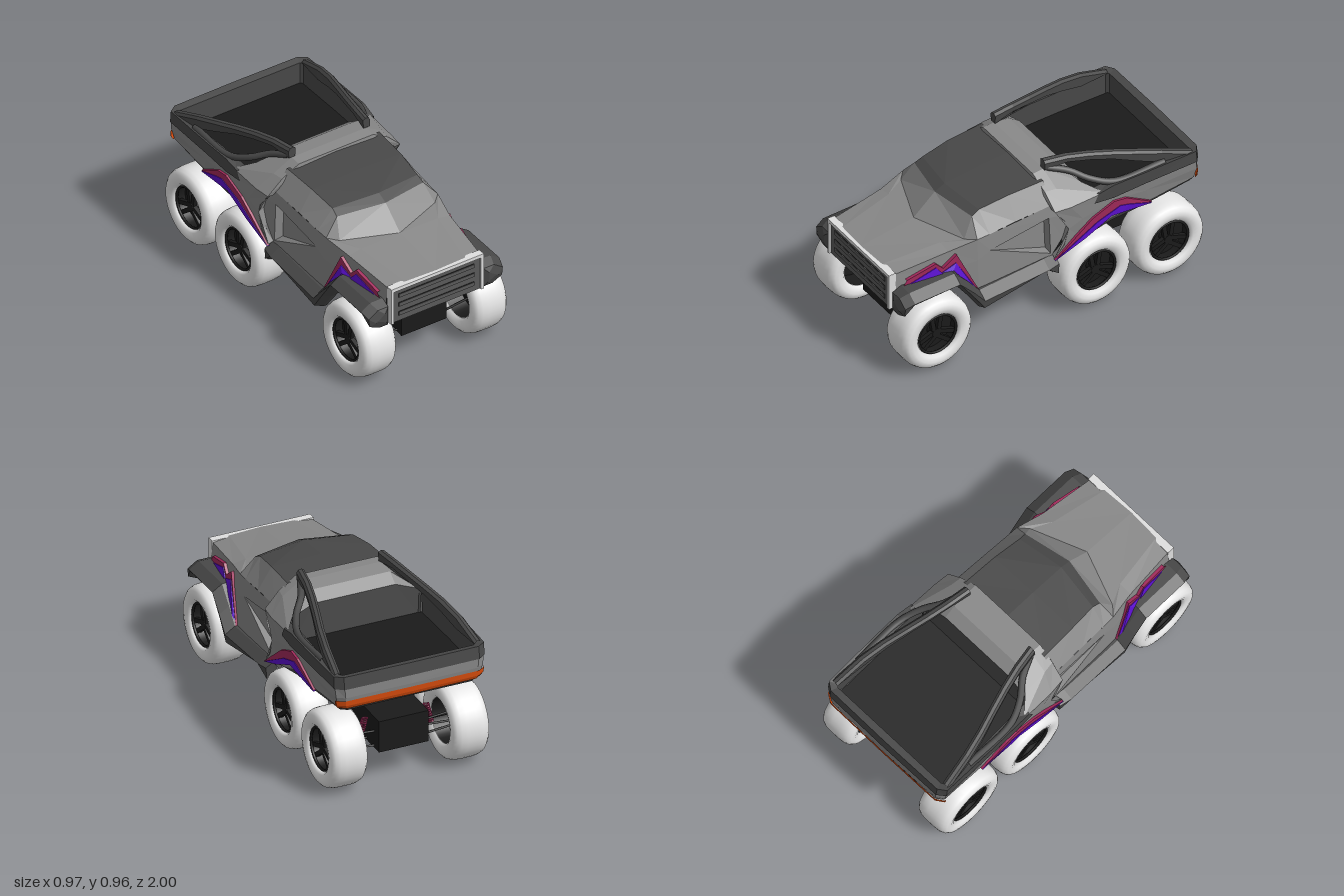
import * as THREE from 'three';

const mat = (name, color) => new THREE.MeshStandardMaterial({ name, color, side: THREE.DoubleSide });
const M = {
  body: mat('bodyGrey', 0x888888), dark: mat('darkGrey', 0x484848), black: mat('chassisBlack', 0x1b1b1b),
  grille: mat('grilleGrey', 0x5a5a5a), tyre: mat('tyreWhite', 0xececec),
  trim: mat('trimWhite', 0xdedede), pink: mat('magenta', 0xa32a5c), purple: mat('purple', 0x5c10d0),
  orange: mat('lampOrange', 0xd24a0c),
};

function add(parent, name, geo, m, x = 0, y = 0, z = 0) {
  const mesh = new THREE.Mesh(geo, m);
  mesh.name = name;
  mesh.position.set(x, y, z);
  parent.add(mesh);
  return mesh;
}
const box = (p, name, m, w, h, d, x, y, z) => add(p, name, new THREE.BoxGeometry(w, h, d), m, x, y, z);

// Faceted surface through rows of points, with its mirror image across x = 0
function skin(parent, name, m, rows) {
  const out = [];
  const tri = (...pts) => {
    pts.forEach(p => out.push(...p));
    [pts[0], pts[2], pts[1]].forEach(p => out.push(-p[0], p[1], p[2]));
  };
  for (let i = 0; i + 1 < rows.length; i++)
    for (let j = 0; j + 1 < rows[i].length; j++) {
      const a = rows[i][j], b = rows[i + 1][j], c = rows[i + 1][j + 1], d = rows[i][j + 1];
      tri(a, b, c);
      tri(a, c, d);
    }
  const g = new THREE.BufferGeometry();
  g.setAttribute('position', new THREE.Float32BufferAttribute(out, 3));
  g.computeVertexNormals();
  return add(parent, name, g, m);
}

// Side profile of [z, y] points extruded across the width
function profile(parent, name, m, halfWidth, pts) {
  const g = new THREE.ExtrudeGeometry(new THREE.Shape(pts.map(p => new THREE.Vector2(...p))),
    { depth: halfWidth * 2, bevelEnabled: false });
  g.translate(0, 0, -halfWidth).rotateY(-Math.PI / 2);
  return add(parent, name, g, m);
}

const V = pts => pts.map(p => new THREE.Vector3(...p));
const tube = (pts, r, n = 24, sides = 8) => new THREE.TubeGeometry(new THREE.CatmullRomCurve3(V(pts)), n, r, sides);

function makeCab(g) {
  skin(g, 'hood', M.body, [
    [[0, .638, .975], [.2, .636, .965], [.305, .625, .95]],
    [[0, .688, .625], [.26, .68, .62], [.34, .665, .62]],
    [[0, .688, .625], [.32, .69, .5], [.375, .70, .45]]]);
  skin(g, 'windshield', M.body, [
    [[0, .81, .485], [.29, .80, .43]],
    [[0, .688, .625], [.32, .69, .5]]]);
  skin(g, 'roof', M.dark, [
    [[0, .81, .485], [.29, .80, .43]],
    [[0, .84, .42], [.285, .825, .38]],
    [[0, .865, .2], [.3, .855, .2]],
    [[0, .88, -.03], [.31, .868, -.03]]]);
  skin(g, 'sideWindow', M.body, [
    [[.29, .80, .43], [.29, .80, .43], [.285, .825, .38], [.3, .855, .2], [.31, .868, -.03]],
    [[.32, .69, .5], [.375, .70, .45], [.378, .706, .37], [.383, .725, .2], [.39, .745, -.03]]]);
  skin(g, 'hoodSide', M.body, [
    [[.305, .625, .95], [.34, .665, .62], [.375, .70, .45], [.378, .706, .37]],
    [[.32, .5, .95], [.35, .54, .62], [.383, .56, .45], [.387, .6, .37]],
    [[.31, .4, .95], [.35, .48, .62], [.388, .36, .45], [.392, .36, .37]]]);
  // Door around a triangular recess that sinks in towards the back
  const A = [.387, .6, .37], B = [.398, .67, -.01], C = [.4, .42, -.02];
  const b = [.345, .655, -.008], c = [.345, .43, -.018];
  skin(g, 'doorTop', M.body, [[[.378, .706, .37], [.39, .745, -.01]], [A, B]]);
  skin(g, 'doorBottom', M.body, [[A, C], [[.392, .36, .37], [.4, .39, -.02]]]);
  skin(g, 'doorBack', M.body, [[[.39, .745, -.01], [.39, .745, -.14]], [B, [.4, .65, -.14]],
    [C, [.4, .42, -.14]], [[.4, .39, -.02], [.4, .39, -.14]]]);
  skin(g, 'doorRecess', M.body, [[A, A], [b, c]]);
  skin(g, 'doorRecessEdge', M.body, [[A, B, C, A], [A, b, c, A]]);
  // Front fender running back into the side step: [z, inner x, outer x, top y, bottom y]
  const fender = [[.99, .35, .41, .49, .43], [.975, .32, .45, .52, .4], [.92, .32, .465, .545, .465],
    [.62, .34, .465, .555, .48], [.53, .36, .465, .46, .36], [.455, .375, .465, .37, .25],
    [.03, .385, .465, .405, .335], [-.045, .385, .45, .41, .27]];
  const rows = fender.map(([z, a, o, t, l]) => [
    [a, l, z], [a, t, z], [o - .06, t, z], [o, t - .04, z], [o - .005, l + .03, z], [o - .07, l, z], [a, l, z]]);
  rows.unshift(rows[0].map(() => [.38, .46, .99]));
  rows.push(rows[0].map(() => [.41, .34, -.045]));
  skin(g, 'fenderAndStep', M.dark, rows);
}

function makeGrille(g) {
  box(g, 'grillePanel', M.grille, .59, .215, .03, 0, .508, .965);
  box(g, 'grilleTopTrim', M.trim, .62, .022, .045, 0, .625, .97);
  for (const s of [-1, 1]) box(g, 'grilleSideTrim', M.trim, .018, .235, .045, s * .302, .518, .97);
  for (const y of [.57, .51, .45]) {
    box(g, 'grilleSlotEdge', M.black, .506, .027, .004, 0, y, .981);
    box(g, 'grilleSlot', M.grille, .502, .023, .008, 0, y, .982);
  }
}

function makeRearBody(g) {
  // Hoop wrapping over the back of the cab
  skin(g, 'rearHoop', M.body, [
    [[0, .865, .005], [0, .89, 0], [0, .895, -.07], [0, .882, -.17]],
    [[.25, .865, .005], [.25, .89, 0], [.25, .895, -.07], [.25, .882, -.17]],
    [[.33, .815, 0], [.355, .825, -.01], [.365, .825, -.08], [.37, .81, -.24]],
    [[.41, .73, -.02], [.445, .735, -.02], [.455, .735, -.12], [.458, .75, -.34]]]);
  skin(g, 'hoopLip', M.body, [
    [[.405, .73, -.03], [.4, .65, -.1], [.4, .58, -.125], [.4, .48, -.09], [.4, .41, -.03]],
    [[.445, .735, -.02], [.455, .65, -.08], [.445, .58, -.11], [.445, .48, -.08], [.44, .41, -.02]]]);
  skin(g, 'cabBackWall', M.body, [
    [[0, .882, -.17], [.25, .882, -.17], [.37, .81, -.24]],
    [[0, .835, -.24], [.25, .835, -.24], [.39, .78, -.25]]]);
  skin(g, 'bedFrontWall', M.dark, [
    [[0, .835, -.24], [.25, .835, -.24], [.39, .78, -.25], [.4, .76, -.26]],
    [[0, .63, -.26], [.25, .63, -.26], [.38, .63, -.26], [.39, .63, -.27]]]);
  // Flared sides running back and round into the tailgate
  const lower = [[.44, .41, -.02], [.435, .47, -.21], [.44, .54, -.4], [.437, .55, -.65], [.435, .585, -.945], [.395, .585, -.975], [0, .585, -.98]];
  skin(g, 'rearSide', M.body, [
    [[.445, .735, -.02], [.455, .735, -.12], [.458, .75, -.34], [.458, .71, -.6], [.455, .71, -.95], [.41, .71, -.985], [0, .71, -.988]],
    [[.445, .58, -.11], [.45, .62, -.2], [.453, .66, -.4], [.45, .64, -.62], [.45, .65, -.955], [.405, .65, -.985], [0, .65, -.988]],
    lower]);
  skin(g, 'lowerEdge', M.dark, [lower,
    [[.42, .4, -.03], [.42, .46, -.21], [.425, .505, -.4], [.42, .52, -.65], [.415, .555, -.93], [.38, .555, -.955], [0, .555, -.955]]]);
  // Dark rail around the bed
  skin(g, 'bedRail', M.dark, [
    [[.46, .70, -.27], [.463, .69, -.4], [.463, .7, -.6], [.46, .705, -.952], [.413, .705, -.988], [0, .705, -.992]],
    [[.46, .755, -.3], [.466, .78, -.4], [.466, .78, -.6], [.46, .78, -.945], [.413, .78, -.978], [0, .78, -.982]],
    [[.4, .76, -.26], [.405, .775, -.4], [.41, .775, -.6], [.415, .77, -.92], [.4, .77, -.935], [0, .77, -.935]]]);
  skin(g, 'bedLining', M.dark, [
    [[.4, .76, -.26], [.405, .775, -.4], [.41, .775, -.6], [.415, .77, -.92], [.4, .77, -.935], [0, .77, -.935]],
    [[.4, .63, -.27], [.405, .63, -.4], [.41, .63, -.6], [.415, .63, -.92], [.4, .63, -.935], [0, .63, -.935]]]);
  box(g, 'bedFloor', M.black, .82, .02, .675, 0, .625, -.597);
  skin(g, 'tailLamp', M.orange, [
    [[.456, .632, -.95], [.453, .632, -.96], [.407, .632, -.989], [0, .632, -.992]],
    [[.453, .602, -.95], [.45, .602, -.96], [.405, .602, -.989], [0, .602, -.992]],
    [[.44, .58, -.945], [.437, .58, -.95], [.397, .58, -.98], [0, .58, -.985]]]);
  // Curved buttress blades: [x, z, top y, bottom y], widening towards the rear
  const blade = [[.25, -.065, .965, .9], [.272, -.2, .96, .915], [.302, -.33, .943, .895], [.338, -.46, .92, .868],
    [.378, -.6, .89, .82], [.408, -.74, .853, .772], [.432, -.93, .785, .765]];
  const rows = blade.map(([x, z, t, l]) => [[x - .02, l, z], [x - .024, t - .012, z], [x - .008, t, z],
    [x + .012, t - .004, z], [x + .024, t - .02, z], [x + .022, l, z], [x - .02, l, z]]);
  rows.unshift(rows[0].map(() => [.25, .93, -.065]));
  skin(g, 'buttressBlade', M.dark, rows);
  for (const s of [-1, 1]) {
    const path = [[.26, .905, -.09], [.31, .868, -.2], [.38, .82, -.29], [.432, .778, -.42], [.432, .775, -.75]];
    add(g, 'buttressStrut', tube(path.map(([x, y, z]) => [x * s, y, z]), .02), M.dark);
  }
}

function makeStripes(g) {
  const stripe = (name, flare, xs, lines) => {
    const row = (line, off) => line.map(([z, y], i) => [xs[i] + off, y, z]);
    skin(g, name + 'Magenta', M.pink, [row(lines[0], -.016), row(lines[0], .002), row(lines[1], 0)]);
    skin(g, name + 'Purple', M.purple, [row(lines[1], 0), row(lines[1], .004), row(lines[2], flare), row(lines[2], -.014)]);
  };
  stripe('frontStripe', .016, [.333, .352, .357, .366, .398], [
    [[.89, .575], [.71, .627], [.665, .58], [.58, .645], [.455, .37]],
    [[.92, .53], [.71, .6], [.675, .552], [.585, .592], [.46, .365]],
    [[.92, .52], [.71, .535], [.66, .54], [.61, .555], [.465, .36]]]);
  stripe('rearStripe', .001, [.448, .458, .464, .464, .448], [
    [[-.02, .405], [-.26, .6], [-.4, .665], [-.48, .655], [-.66, .545]],
    [[-.02, .402], [-.29, .563], [-.44, .62], [-.5, .605], [-.655, .54]],
    [[-.02, .4], [-.21, .48], [-.385, .57], [-.45, .565], [-.655, .535]]]);
}

function makeChassis(g) {
  profile(g, 'chassis', M.black, .152, [[.86, .185], [.02, .335], [-.1, .19], [-.88, .19], [-.88, .385], [-.25, .385], [-.1, .44], [0, .5], [.86, .45]]);
  profile(g, 'underbodyFront', M.black, .29, [[.94, .47], [.55, .47], [.5, .41], [-.02, .42], [-.02, .6], [.94, .52]]);
  profile(g, 'underbodyRear', M.black, .415, [[-.03, .41], [-.21, .47], [-.4, .51], [-.65, .525], [-.94, .558], [-.94, .61], [-.2, .61], [-.1, .5]]);
}

// Tyre cross-section: [radius, offset along the axle]
const half = [[.131, .09], [.146, .106], [.175, .113], [.2, .108], [.218, .092], [.228, .066], [.231, .03]];
const tyreProfile = [...half.map(([r, t]) => [r, -t]), ...half.slice().reverse(), half[0].map((v, i) => i ? -v : v)];

function makeWheel() {
  const w = new THREE.Group();
  w.name = 'wheel';
  const turned = geo => geo.rotateZ(-Math.PI / 2);
  add(w, 'tyre', turned(new THREE.LatheGeometry(tyreProfile.map(p => new THREE.Vector2(...p)), 40)), M.tyre);
  add(w, 'rimBarrel', turned(new THREE.CylinderGeometry(.13, .13, .178, 32, 1, true)), M.black);
  add(w, 'rimBack', turned(new THREE.CylinderGeometry(.129, .129, .01, 32)), M.black, .02);
  add(w, 'rimRing', new THREE.TorusGeometry(.123, .008, 6, 32).rotateY(Math.PI / 2), M.black, .085);
  add(w, 'hub', turned(new THREE.CylinderGeometry(.028, .036, .11, 12)), M.black, .025);
  for (let i = 0; i < 3; i++)
    for (const s of [-1, 1]) {
      const spoke = add(w, 'spoke', new THREE.BoxGeometry(.025, .108, .026).translate(0, .066, s * .012), M.black, .066);
      spoke.rotation.x = i * Math.PI * 2 / 3 + s * .16;
    }
  return w;
}

function makeAxle(g, z) {
  const axle = new THREE.Group();
  axle.name = 'axle';
  axle.position.z = z;
  for (const s of [-1, 1]) {
    const wheel = makeWheel();
    wheel.position.set(s * .372, .231, 0);
    if (s < 0) wheel.rotation.y = Math.PI;
    axle.add(wheel);
    for (const [y, dz] of [[.205, .05], [.205, -.05], [.268, 0], [.295, -.05]])
      add(axle, 'suspensionArm', tube([[s * .14, y, dz], [s * .37, y, dz * .4]], .007, 1, 6), M.black);
    // Coil spring
    const coil = [];
    for (let i = 0; i <= 64; i++) {
      const t = i / 64, a = t * Math.PI * 18;
      coil.push([s * (.217 - .03 * t + .016 * Math.cos(a)), .24 + .125 * t, .016 * Math.sin(a)]);
    }
    add(axle, 'spring', tube(coil, .005, 160, 5), M.pink);
  }
  g.add(axle);
}

export function createModel() {
  const g = new THREE.Group();
  g.name = 'sixWheelTruck';
  makeCab(g);
  makeGrille(g);
  makeRearBody(g);
  makeStripes(g);
  makeChassis(g);
  for (const z of [.768, -.285, -.768]) makeAxle(g, z);
  return g;
}
